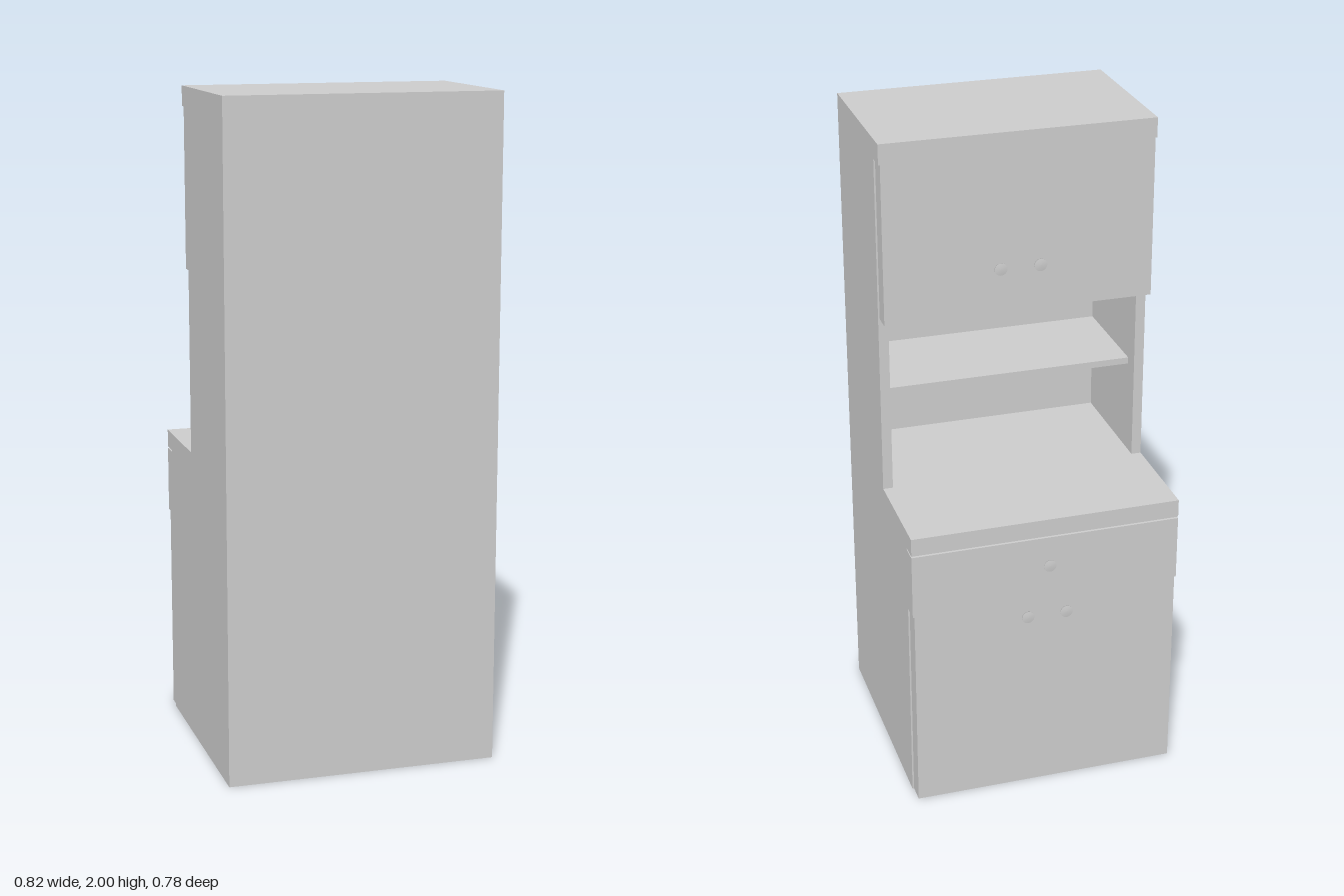
import * as THREE from 'three';

const material = new THREE.MeshStandardMaterial({ color: 0xcccccc });
const W = 0.41, T = 0.03;                 // half width, panel thickness
const BACK = 0.387, BASE_FRONT = -0.378, TOP_FRONT = -0.106;
const DOOR = 0.055, NICHE_FRONT = TOP_FRONT + DOOR;
const COUNTER = 0.905, COUNTER_BOTTOM = 0.85, UPPER = 1.457;

export function createModel() {
  const cabinet = new THREE.Group();
  cabinet.name = 'kitchenCabinet';

  const add = (name, geometry) => {
    const mesh = new THREE.Mesh(geometry, material);
    mesh.name = name;
    cabinet.add(mesh);
    return mesh;
  };

  // Box centred on x, given by its half width and its y and z limits
  const panel = (name, halfWidth, y0, y1, z0, z1) => {
    const mesh = add(name, new THREE.BoxGeometry(halfWidth * 2, y1 - y0, z1 - z0));
    mesh.position.set(0, (y0 + y1) / 2, (z0 + z1) / 2);
  };

  // Side panels: one stepped outline from floor to top board
  const baseInner = BASE_FRONT + DOOR;
  const outline = new THREE.Shape([
    [BACK, 0], [BACK, 1.94], [NICHE_FRONT, 1.94],
    [NICHE_FRONT, COUNTER_BOTTOM], [baseInner, COUNTER_BOTTOM], [baseInner, 0],
  ].map(([z, y]) => new THREE.Vector2(-z, y)));
  for (const [name, x] of [['leftSide', W - T], ['rightSide', -W]]) {
    const side = add(name, new THREE.ExtrudeGeometry(outline, { depth: T, bevelEnabled: false }));
    side.rotation.y = Math.PI / 2;
    side.position.x = x;
  }

  // Carcass between the sides
  const inner = W - T;
  panel('backPanel', inner, 0, 1.94, 0.333, BACK);
  panel('baseCarcass', inner, 0, COUNTER_BOTTOM, baseInner, 0.333);
  panel('upperCarcass', inner, UPPER, 1.94, NICHE_FRONT, 0.333);
  panel('nicheFloor', inner, COUNTER_BOTTOM, COUNTER, NICHE_FRONT, 0.333);
  panel('nicheShelf', inner, 1.19, 1.21, 0, 0.333);

  // Full-width boards
  panel('countertop', W, COUNTER_BOTTOM, COUNTER, BASE_FRONT, NICHE_FRONT);
  panel('topBoard', W, 1.94, 2, TOP_FRONT, BACK);

  // Drawer front with a thin gap above, and doors set in slightly at the sides
  panel('drawerFront', W, 0.645, COUNTER_BOTTOM - 0.005, BASE_FRONT, baseInner);
  panel('lowerDoors', W - 0.005, 0, 0.645, BASE_FRONT, baseInner);
  panel('upperDoors', W - 0.005, UPPER, 1.94, TOP_FRONT, NICHE_FRONT);

  // Knobs: slim stem flaring into a flat disc
  const knobGeometry = new THREE.LatheGeometry([
    [0.007, 0], [0.007, 0.007], [0.019, 0.009], [0.019, 0.0115], [0, 0.012],
  ].map(([r, y]) => new THREE.Vector2(r, y)), 24);
  const knob = (name, x, y, z) => {
    const mesh = add(name, knobGeometry);
    mesh.rotation.x = -Math.PI / 2;
    mesh.position.set(x, y, z);
  };
  for (const x of [-0.06, 0.06]) {
    knob('lowerDoorKnob', x, 0.59, BASE_FRONT);
    knob('upperDoorKnob', x, 1.595, TOP_FRONT);
  }
  knob('drawerKnob', -0.007, 0.755, BASE_FRONT);

  return cabinet;
}
